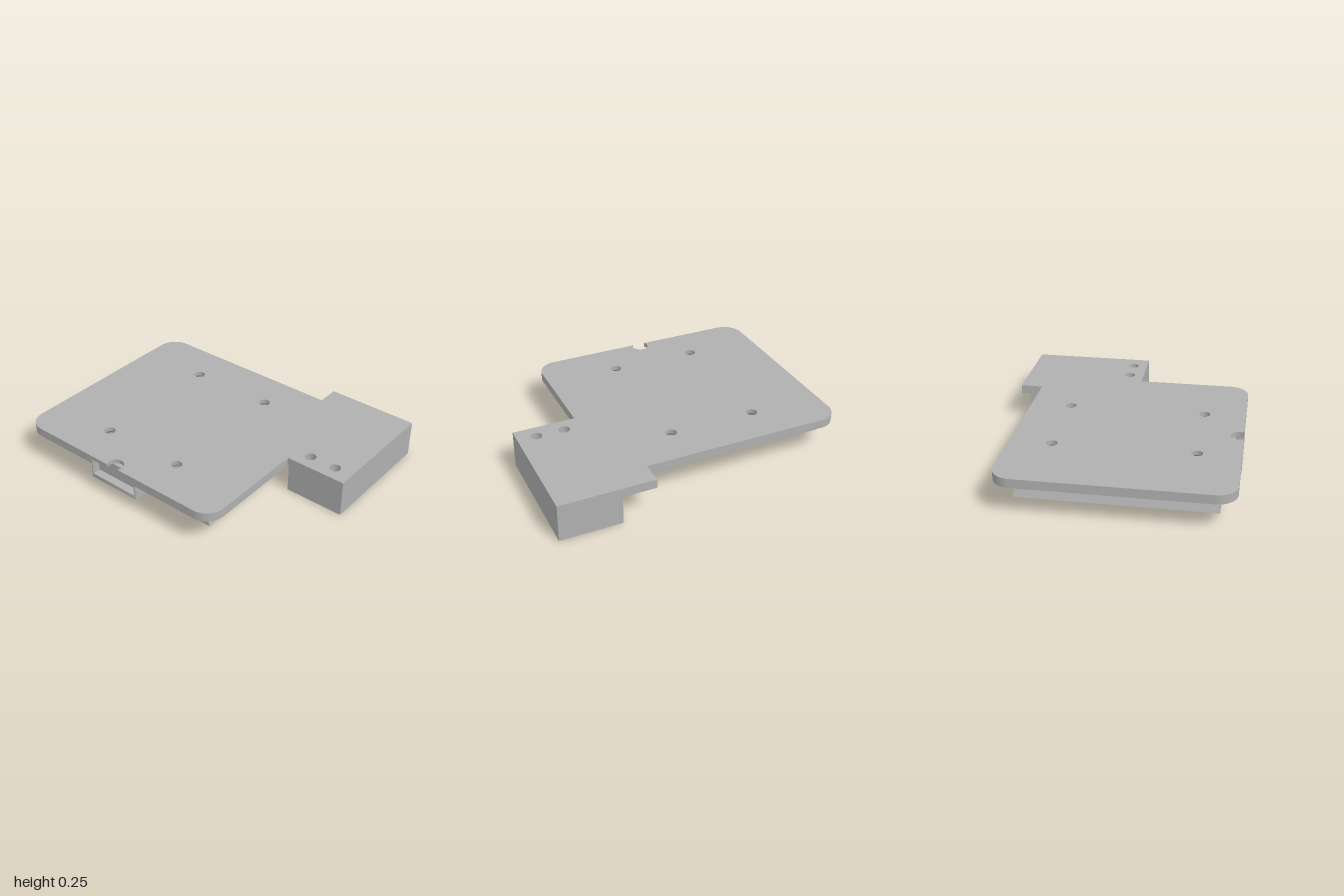
import * as THREE from 'three';
import { toCreasedNormals } from 'three/addons/utils/BufferGeometryUtils.js';

export function createModel() {
  const model = new THREE.Group();
  const grey = new THREE.MeshStandardMaterial({ color: 0xb0b0b0 });
  const greyInner = grey.clone();
  greyInner.side = THREE.DoubleSide;

  const add = (name, geometry, material = grey, parent = model) => {
    const mesh = new THREE.Mesh(geometry, material);
    mesh.name = name;
    parent.add(mesh);
    return mesh;
  };

  // Horizontal slab from an outline drawn in (x, z)
  const slab = (name, shape, y0, y1) => {
    const g = new THREE.ExtrudeGeometry(shape, { depth: y1 - y0, bevelEnabled: false, curveSegments: 16 });
    g.rotateX(Math.PI / 2).translate(0, y1, 0);
    return add(name, toCreasedNormals(g, 0.5));
  };
  const poly = (points) => new THREE.Shape(points.map(([x, z]) => new THREE.Vector2(x, z)));
  const drill = (shape, centres, r) => {
    for (const [x, z] of centres) shape.holes.push(new THREE.Path().absarc(x, z, r, 0, Math.PI * 2));
    return shape;
  };

  // Main plate: lower layer is cut for the socket, upper layer for the finger notch
  const plateHoles = [[-0.5, -0.385], [0.085, -0.385], [-0.5, 0.53], [0.085, 0.53]];
  const plateShape = (frontCut) => {
    const s = new THREE.Shape();
    s.moveTo(0.595, -0.81);
    s.lineTo(0.375, -0.81);
    s.lineTo(0.375, -0.66);
    s.absarc(-0.87, -0.53, 0.13, -Math.PI / 2, -Math.PI, true);
    s.absarc(-0.87, 0.675, 0.13, Math.PI, Math.PI / 2, true);
    frontCut(s);
    s.absarc(0.455, 0.675, 0.13, Math.PI / 2, 0, true);
    s.lineTo(0.585, 0.03);
    s.lineTo(0.595, 0.03);
    return s;
  };
  const socketCut = (s) => {
    s.lineTo(-0.39, 0.805);
    s.lineTo(-0.39, 0.75);
    s.lineTo(-0.03, 0.75);
    s.lineTo(-0.03, 0.805);
  };
  const notchCut = (s) => {
    const a = Math.asin(0.03 / 0.055);
    s.absarc(-0.21, 0.775, 0.055, Math.PI - a, Math.PI * 2 + a, false);
  };
  slab('plateLower', drill(plateShape(socketCut), plateHoles, 0.067), 0.19, 0.22);
  slab('plateUpper', drill(plateShape(notchCut), plateHoles, 0.037), 0.22, 0.25);

  // Countersinks under the plate
  for (const [x, z] of plateHoles) {
    const cone = new THREE.CylinderGeometry(0.037, 0.067, 0.03, 32, 1, true);
    add('countersink', cone.translate(x, 0.205, z), greyInner);
  }

  // Corner block with a pocket open below and two counterbored holes
  const blockHoles = [[0.69, -0.07], [0.875, -0.07]];
  const blockLayer = (name, r, pocket, y0, y1) => {
    const s = poly([[0.595, -0.81], [1, -0.81], [1, 0.03], [0.595, 0.03]]);
    if (pocket) s.holes.push(poly([[0.645, -0.56], [0.945, -0.56], [0.945, -0.195], [0.645, -0.195]]));
    slab(name, drill(s, blockHoles, r), y0, y1);
  };
  blockLayer('blockBottom', 0.06, true, 0, 0.1);
  blockLayer('blockMiddle', 0.037, true, 0.1, 0.18);
  blockLayer('blockTop', 0.037, false, 0.18, 0.25);

  // Dovetail rails
  for (const x of [-0.795, 0.377]) {
    const profile = poly([[-0.124, 0.085], [0.124, 0.085], [0.084, 0.19], [-0.084, 0.19]]);
    const g = new THREE.ExtrudeGeometry(profile, { depth: 1.235, bevelEnabled: false });
    add('dovetailRail', g.translate(x, 0, -0.53));
  }

  // Front socket housing, with rounded front corners
  const housing = (cut) => {
    const r = 0.014;
    const s = new THREE.Shape();
    s.moveTo(-0.015, 0.5);
    s.lineTo(-0.405, 0.5);
    s.absarc(-0.405 + r, 0.805 - r, r, Math.PI, Math.PI / 2, true);
    if (cut) socketCut(s);
    s.absarc(-0.015 - r, 0.805 - r, r, Math.PI / 2, 0, true);
    return s;
  };
  slab('socketFloor', housing(false), 0.085, 0.112);
  slab('socketWalls', housing(true), 0.112, 0.19);

  return model;
}
